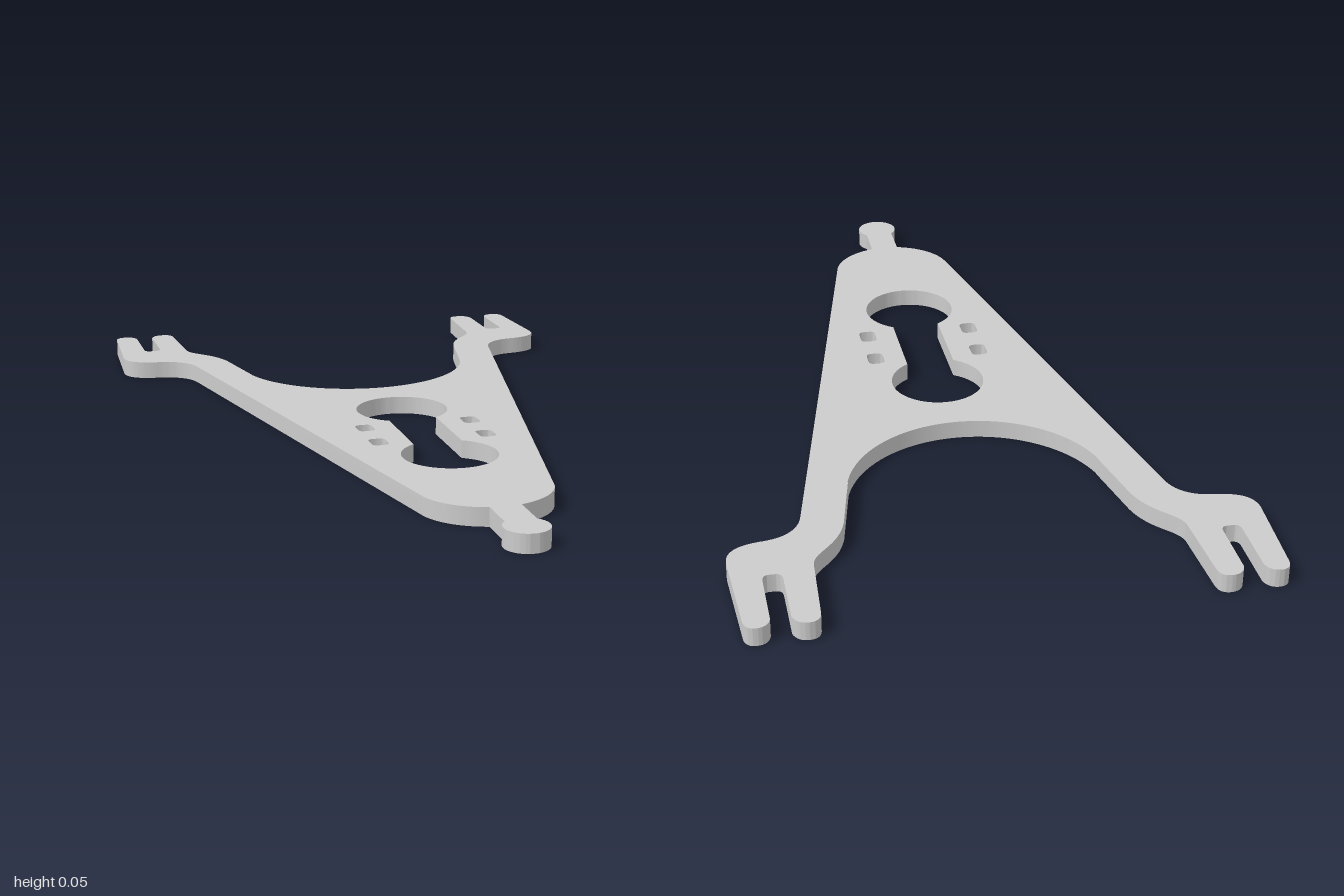
import * as THREE from 'three';
import { toCreasedNormals } from 'three/addons/utils/BufferGeometryUtils.js';

const THICKNESS = 0.045;

// Half outline (+x side) in plan, from the front ball to the rear arch.
// Shape y becomes model z.
function halfOutline() {
  const p = new THREE.Path();
  p.moveTo(0, 0.998);
  p.absarc(0, 0.945, 0.053, Math.PI / 2, -0.8, true);       // ball tip
  p.lineTo(0.037, 0.807);                                   // neck
  p.bezierCurveTo(0.1, 0.79, 0.142, 0.745, 0.155, 0.695);   // rounded nose
  p.lineTo(0.43, -0.6);                                     // straight flank
  p.bezierCurveTo(0.443, -0.65, 0.48, -0.673, 0.53, -0.677);
  p.bezierCurveTo(0.585, -0.684, 0.612, -0.705, 0.612, -0.75);
  p.lineTo(0.6, -0.97);                                     // outer prong
  p.quadraticCurveTo(0.598, -1, 0.573, -1);
  p.quadraticCurveTo(0.547, -1, 0.541, -0.972);
  p.lineTo(0.541, -0.828);
  p.quadraticCurveTo(0.54, -0.81, 0.525, -0.81);            // fork slot
  p.lineTo(0.512, -0.81);
  p.quadraticCurveTo(0.497, -0.81, 0.496, -0.828);
  p.lineTo(0.496, -0.972);                                  // inner prong
  p.quadraticCurveTo(0.488, -1, 0.462, -1);
  p.quadraticCurveTo(0.435, -1, 0.433, -0.97);
  p.lineTo(0.424, -0.79);
  p.bezierCurveTo(0.42, -0.74, 0.36, -0.73, 0.335, -0.635);
  p.lineTo(0.3, -0.465);                                    // arm
  p.absarc(0, -0.547, 0.312, 0.27, Math.PI / 2, false);     // rear arch
  return p.getPoints(20);
}

// Two round openings joined by a narrow channel
function keyhole() {
  const r = 0.117, a = Math.asin(0.061 / r), q = Math.PI / 2;
  const p = new THREE.Path();
  p.absarc(0, -0.015, r, q + a, q - a + 2 * Math.PI, false);
  p.absarc(0, 0.4, r, -q + a, 1.5 * Math.PI - a, false);
  p.closePath();
  return new THREE.Path(p.getPoints(40));
}

// Small slot with rounded corners
function smallSlot(x, z) {
  const w = 0.021, h = 0.028, c = 0.014;
  const p = new THREE.Path();
  p.moveTo(x - w, z - h + c);
  p.quadraticCurveTo(x - w, z - h, x - w + c, z - h);
  p.lineTo(x + w - c, z - h);
  p.quadraticCurveTo(x + w, z - h, x + w, z - h + c);
  p.lineTo(x + w, z + h - c);
  p.quadraticCurveTo(x + w, z + h, x + w - c, z + h);
  p.lineTo(x - w + c, z + h);
  p.quadraticCurveTo(x - w, z + h, x - w, z + h - c);
  p.closePath();
  return new THREE.Path(p.getPoints(5));
}

export function createModel() {
  const group = new THREE.Group();
  group.name = 'forkedPlate';

  // Mirror the half outline to close the plate
  const half = halfOutline();
  const mirrored = half.slice(1, -1).reverse().map((v) => new THREE.Vector2(-v.x, v.y));
  const shape = new THREE.Shape([...half, ...mirrored]);

  shape.holes.push(keyhole());
  for (const x of [-0.137, 0.137]) {
    for (const z of [0.131, 0.258]) shape.holes.push(smallSlot(x, z));
  }

  // Extrude and lay flat on the ground
  const extruded = new THREE.ExtrudeGeometry(shape, { depth: THICKNESS, bevelEnabled: false });
  extruded.rotateX(Math.PI / 2);
  extruded.translate(0, THICKNESS, 0);

  const plate = new THREE.Mesh(
    toCreasedNormals(extruded, Math.PI / 6),
    new THREE.MeshStandardMaterial({ color: 0xcccccc })
  );
  plate.name = 'plate';
  group.add(plate);
  return group;
}
